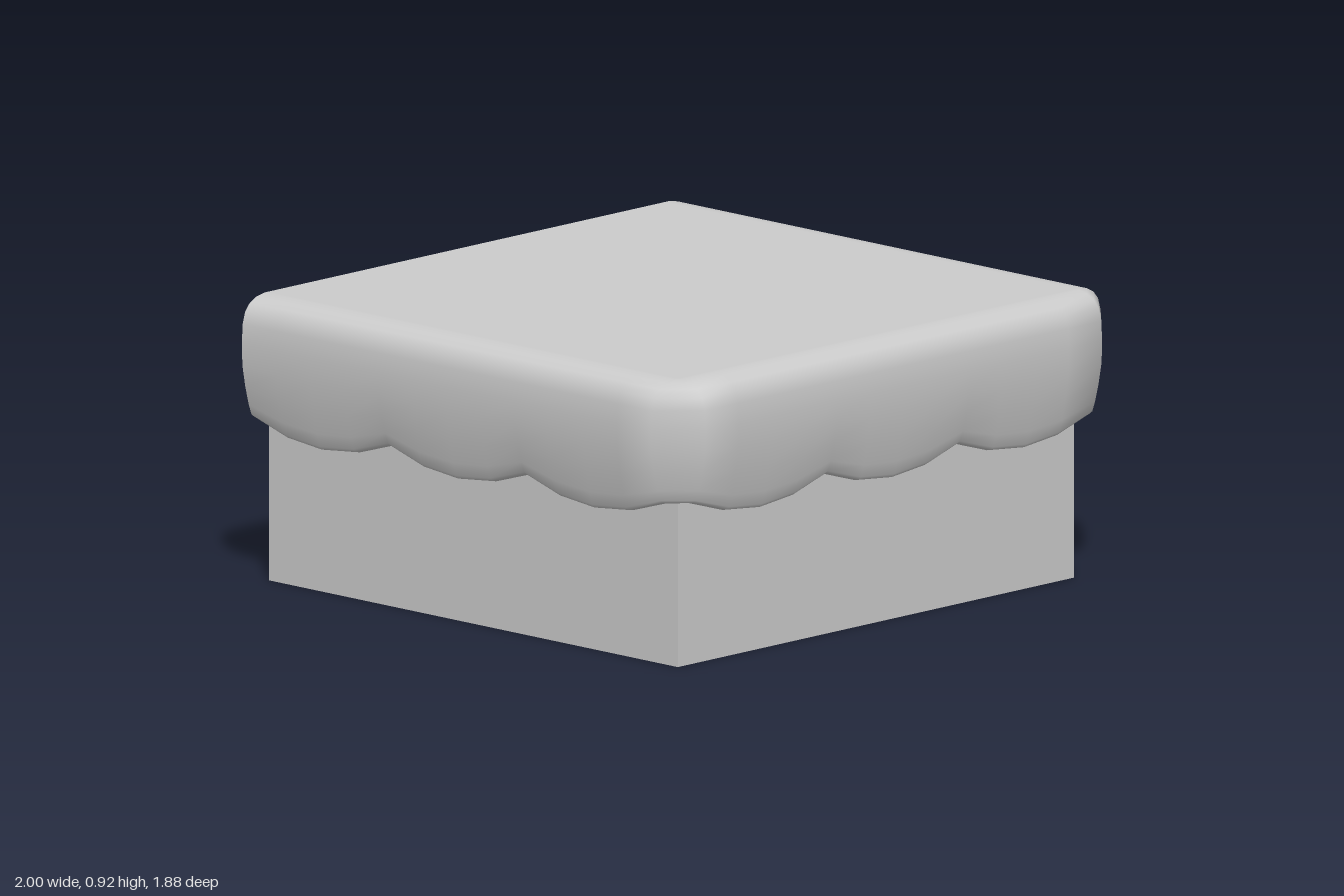
import * as THREE from 'three';
import { mergeVertices } from 'three/addons/utils/BufferGeometryUtils.js';

const HALF_W = 0.88, BACK = -0.94, FRONT = 0.82, TOP = 0.915;

// Skirt cross-section: [outward offset, height, how far it follows the scallops]
const PROFILE = [
  [0, TOP, 0], [0.02, TOP, 0], [0.055, 0.908, 0], [0.085, 0.893, 0],
  [0.106, 0.868, 0], [0.117, 0.83, 0], [0.12, 0.77, 0.05], [0.118, 0.7, 0.2],
  [0.105, 0.63, 0.5], [0.09, 0.572, 0.8], [0.078, 0.539, 0.95],
  [0.068, 0.531, 1], [0.05, 0.527, 1], [0, 0.527, 1],
];
const SCALLOPS = 3, STEPS = 4, DROP = 0.06;

// Points along one straight edge, with outward direction and scallop depth
function edge(x0, z0, x1, z1, nx, nz) {
  const points = [];
  for (let i = 0; i <= SCALLOPS * STEPS; i++) {
    const t = i / (SCALLOPS * STEPS);
    const s = (i % STEPS) / STEPS;
    points.push({
      x: x0 + (x1 - x0) * t, z: z0 + (z1 - z0) * t, nx, nz,
      drop: DROP * (1 - (2 * s - 1) ** 2),
    });
  }
  return points;
}

// Draped skirt: sweeps the profile round three edges, bevelling the front corners
function skirtGeometry() {
  const path = [
    ...edge(-HALF_W, BACK, -HALF_W, FRONT, -1, 0),
    ...edge(-HALF_W, FRONT, HALF_W, FRONT, 0, 1),
    ...edge(HALF_W, FRONT, HALF_W, BACK, 1, 0),
  ];
  const positions = [], indices = [], n = PROFILE.length;
  path.forEach((p, i) => {
    PROFILE.forEach(([d, y, follow], j) => {
      positions.push(p.x + p.nx * d, y - p.drop * follow, p.z + p.nz * d);
      if (i < path.length - 1 && j < n - 1) {
        const a = i * n + j;
        indices.push(a, a + 1, a + n, a + 1, a + n + 1, a + n);
      }
    });
  });
  let geometry = new THREE.BufferGeometry();
  geometry.setAttribute('position', new THREE.Float32BufferAttribute(positions, 3));
  geometry.setIndex(indices);
  geometry = mergeVertices(geometry, 1e-4);
  geometry.computeVertexNormals();
  return geometry;
}

export function createModel() {
  const group = new THREE.Group();
  const solid = new THREE.MeshStandardMaterial({ color: 0xcccccc });
  const sheet = new THREE.MeshStandardMaterial({ color: 0xcccccc, side: THREE.DoubleSide });
  const add = (name, geometry, material, y) => {
    const mesh = new THREE.Mesh(geometry, material);
    mesh.name = name;
    mesh.position.y = y;
    group.add(mesh);
    return mesh;
  };
  const depth = FRONT - BACK, midZ = (FRONT + BACK) / 2;

  // Block underneath
  const block = add('block', new THREE.BoxGeometry(HALF_W * 2, 0.876, depth), solid, 0.438);
  block.position.z = midZ;

  // Flat top of the covering
  const top = new THREE.PlaneGeometry(HALF_W * 2, depth).rotateX(-Math.PI / 2);
  add('coverTop', top, sheet, TOP).position.z = midZ;

  // Scalloped sides of the covering, open at the back
  add('scallopedSkirt', skirtGeometry(), sheet, 0);

  return group;
}
